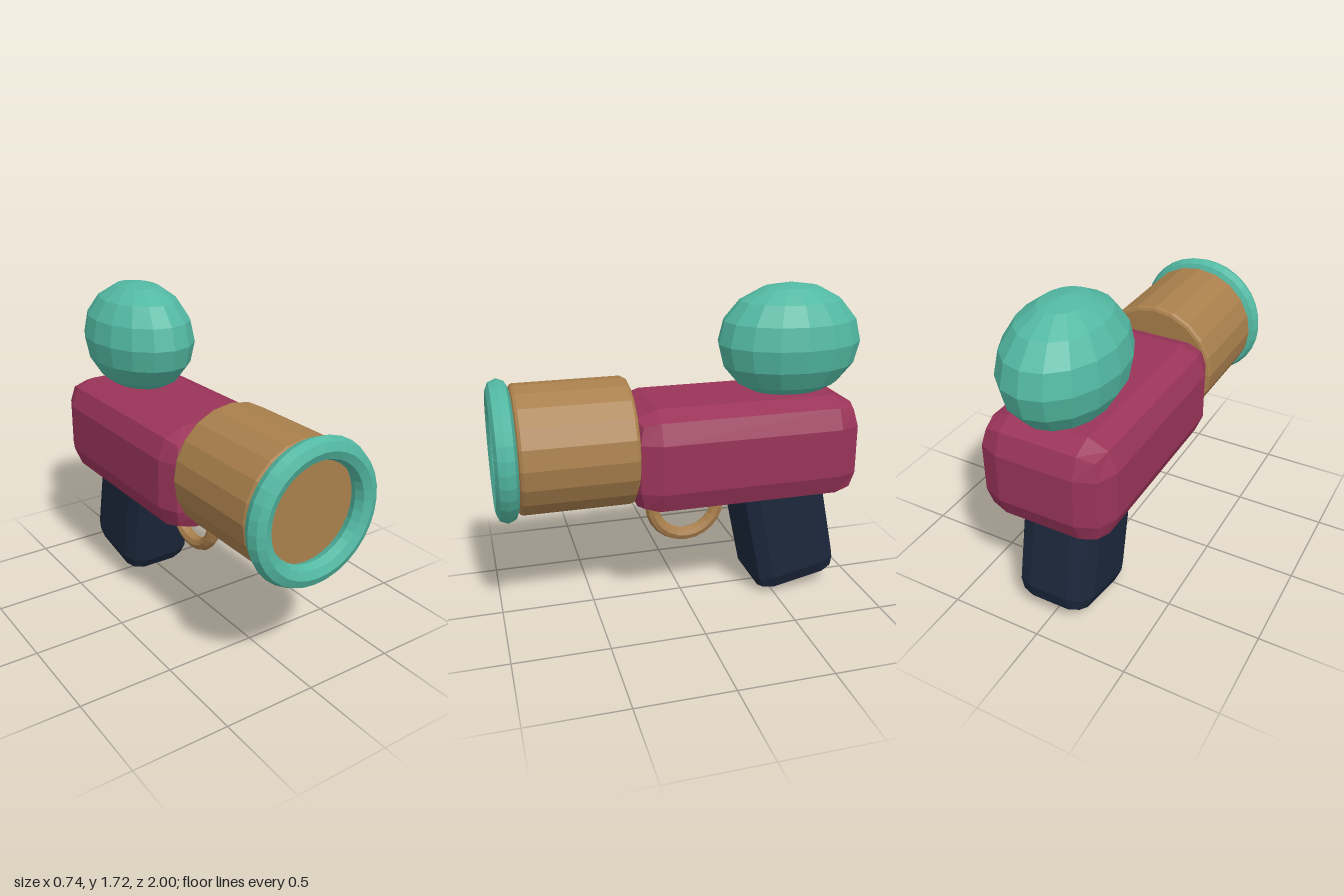
import * as THREE from 'three';

const TEAL = 0x52b8a2, BROWN = 0xa97f4c, MAGENTA = 0x9a3459, NAVY = 0x1b273b;

// Box with a two-step bevel of radius r on every edge
function bevelBox(w, h, d, r) {
  const geo = new THREE.BoxGeometry(3, 3, 3, 3, 3, 3);
  const pos = geo.attributes.position;
  const core = new THREE.Vector3(w / 2 - r, h / 2 - r, d / 2 - r);
  const p = new THREE.Vector3();
  for (let i = 0; i < pos.count; i++) {
    p.fromBufferAttribute(pos, i);
    const signs = new THREE.Vector3(Math.sign(p.x), Math.sign(p.y), Math.sign(p.z));
    // Inner grid lines point straight out, outer ones lean into the bevel
    const out = new THREE.Vector3(Math.trunc(p.x), Math.trunc(p.y), Math.trunc(p.z)).normalize();
    p.copy(signs).multiply(core).addScaledVector(out, r);
    pos.setXYZ(i, p.x, p.y, p.z);
  }
  geo.computeVertexNormals();
  return geo;
}

export function createModel() {
  const group = new THREE.Group();

  function add(name, geometry, color, x, y, z) {
    const material = new THREE.MeshStandardMaterial({ color, flatShading: true });
    const mesh = new THREE.Mesh(geometry, material);
    mesh.name = name;
    mesh.position.set(x, y, z);
    group.add(mesh);
    return mesh;
  }

  // Main housing
  add('body', bevelBox(0.71, 0.56, 1.26, 0.15), MAGENTA, 0, 0.86, -0.3);

  // Barrel with softened rims, turned to point forward
  const profile = [[0, 0], [0.318, 0], [0.332, 0.006], [0.34, 0.02],
    [0.34, 0.58], [0.332, 0.594], [0.318, 0.6], [0, 0.6]]
    .map(([r, y]) => new THREE.Vector2(r, y));
  const barrel = add('barrel', new THREE.LatheGeometry(profile, 20), BROWN, 0, 0.92, 0.285);
  barrel.rotation.x = Math.PI / 2;

  // Ring around the muzzle
  add('muzzleRing', new THREE.TorusGeometry(0.313, 0.058, 8, 32), TEAL, 0, 0.92, 0.942);

  // Egg-shaped tank on top
  const tank = add('tank', new THREE.SphereGeometry(1, 16, 8), TEAL, 0, 1.4, -0.605);
  tank.scale.set(0.283, 0.312, 0.395);

  // Tilted handle
  const grip = add('grip', bevelBox(0.42, 0.75, 0.505, 0.105), NAVY, 0, 0.387, -0.58);
  grip.rotation.x = 0.2;

  // Trigger guard loop
  const guard = add('triggerGuard', new THREE.TorusGeometry(0.188, 0.037, 8, 24), BROWN, 0, 0.525, -0.027);
  guard.rotation.y = Math.PI / 2;

  return group;
}
